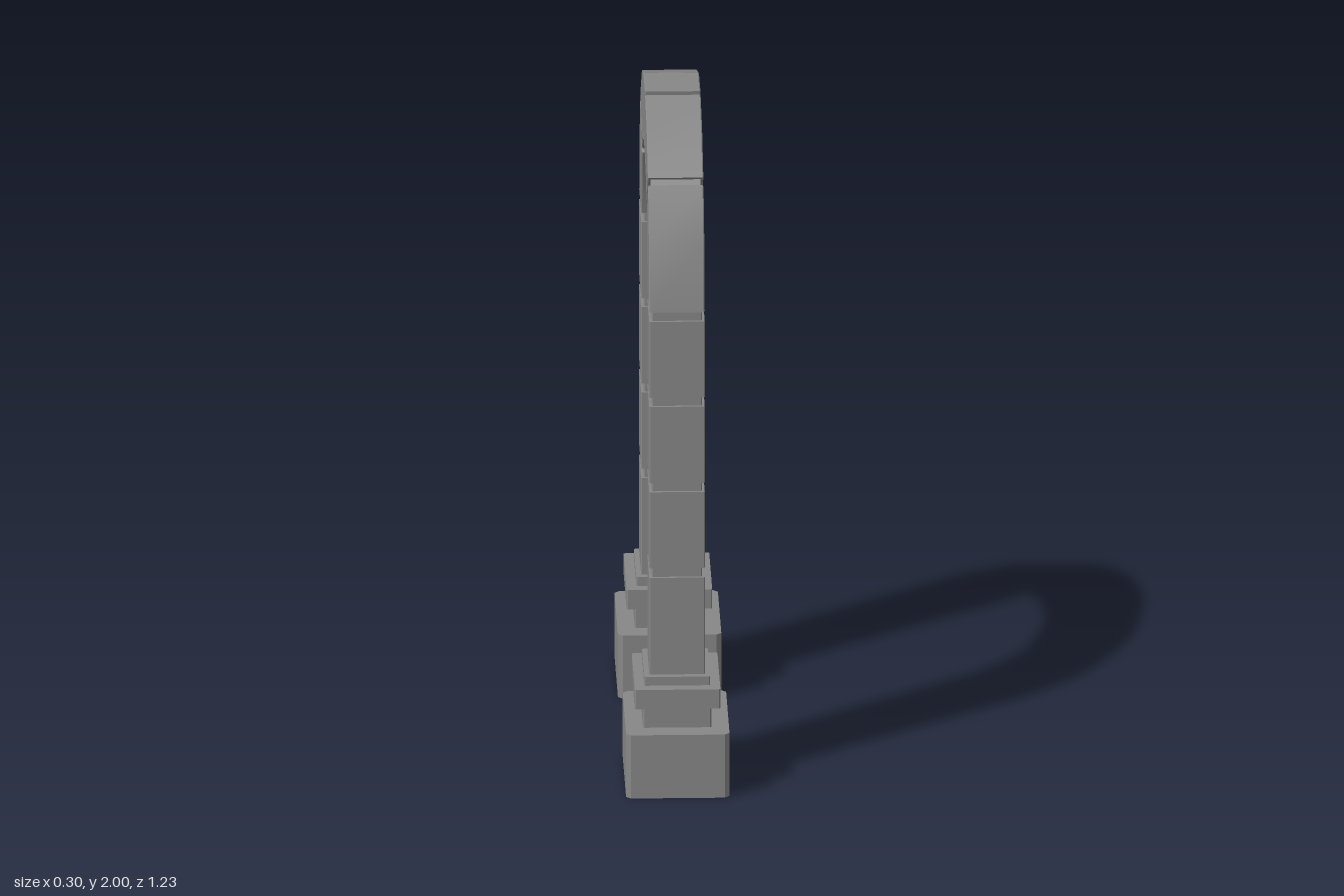
import * as THREE from 'three';
import { toCreasedNormals } from 'three/addons/utils/BufferGeometryUtils.js';

const material = new THREE.MeshStandardMaterial({ color: 0x878787 });
const LEG_Z = 0.425;
const HALF_X = 0.081;
const JOINT_X = 0.073;

function addMesh(parent, name, geometry) {
  const mesh = new THREE.Mesh(geometry, material);
  mesh.name = name;
  parent.add(mesh);
}

// Upright block with chamfered vertical corners
function block(halfX, halfZ, y0, y1, c) {
  const x = halfX, z = halfZ;
  const shape = new THREE.Shape([
    [x - c, -z], [x, -z + c], [x, z - c], [x - c, z],
    [-x + c, z], [-x, z - c], [-x, -z + c], [-x + c, -z],
  ].map(([a, b]) => new THREE.Vector2(a, b)));
  return new THREE.ExtrudeGeometry(shape, { depth: y1 - y0, bevelEnabled: false })
    .rotateX(-Math.PI / 2).translate(0, y0, 0);
}

// Arch stone: [z, y] outline extruded across x with a fine edge bevel
function stone(points, halfX, bevel) {
  const shape = new THREE.Shape(points.map(([z, y]) => new THREE.Vector2(z, y)));
  const geometry = new THREE.ExtrudeGeometry(shape, {
    depth: 2 * (halfX - bevel), bevelEnabled: bevel > 0, bevelSegments: 1,
    bevelSize: bevel, bevelThickness: bevel, bevelOffset: -bevel,
  });
  geometry.translate(0, 0, -(halfX - bevel)).rotateY(-Math.PI / 2);
  return toCreasedNormals(geometry, 0.6);
}

const mix = (a, b, t) => [a[0] + (b[0] - a[0]) * t, a[1] + (b[1] - a[1]) * t];

// Outer and inner edge of each arch stone, from springing to crown
const haunch = {
  outer: [[0.523, 1.475], [0.484, 1.677], [0.398, 1.825]],
  inner: [[0.325, 1.475], [0.298, 1.596], [0.255, 1.688]],
};
const shoulder = {
  outer: [[0.382, 1.842], [0.25, 1.947], [0.096, 1.995]],
  inner: [[0.24, 1.707], [0.161, 1.766], [0.065, 1.795]],
};
const keystone = {
  outer: [[0.08, 2.0], [-0.08, 2.0]],
  inner: [[0.05, 1.8], [-0.05, 1.8]],
};
const outline = (s) => [...s.outer, ...s.inner.slice().reverse()];

// Recessed mortar filling the gap between two arch stones
function joint(a, b) {
  const oa = a.outer.at(-1), ia = a.inner.at(-1), ob = b.outer[0], ib = b.inner[0];
  return stone([mix(oa, ia, 0.06), mix(ob, ib, 0.06), mix(ib, ob, 0.06), mix(ia, oa, 0.06)], JOINT_X, 0);
}

function createLeg() {
  const leg = new THREE.Group();
  leg.name = 'leg';

  const pillar = new THREE.Group();
  pillar.name = 'pillar';
  pillar.position.z = LEG_Z;
  leg.add(pillar);

  // Stepped foot
  addMesh(pillar, 'plinth', block(0.151, 0.189, 0, 0.196, 0.014));
  addMesh(pillar, 'neck', block(0.1, 0.125, 0.196, 0.265, 0.004));
  addMesh(pillar, 'footSlab', block(0.125, 0.157, 0.265, 0.325, 0.004));
  addMesh(pillar, 'footCollar', block(0.096, 0.121, 0.325, 0.352, 0.004));

  // Stacked shaft blocks with recessed joints above each
  const courses = [[0.352, 0.652], [0.682, 0.918], [0.946, 1.183], [1.211, 1.447]];
  courses.forEach(([y0, y1], i) => {
    const next = i < courses.length - 1 ? courses[i + 1][0] : 1.475;
    addMesh(pillar, 'shaftBlock', block(HALF_X, 0.1, y0, y1, 0.003));
    addMesh(pillar, 'shaftJoint', block(JOINT_X, 0.091, y1, next, 0.003));
  });

  // Half of the arch
  addMesh(leg, 'haunchStone', stone(outline(haunch), HALF_X, 0.003));
  addMesh(leg, 'shoulderStone', stone(outline(shoulder), HALF_X, 0.003));
  addMesh(leg, 'archJoint', joint(haunch, shoulder));
  addMesh(leg, 'crownJoint', joint(shoulder, keystone));
  return leg;
}

export function createModel() {
  const model = new THREE.Group();
  model.name = 'archway';

  // Two identical legs facing each other
  for (const turn of [0, Math.PI]) {
    const leg = createLeg();
    leg.rotation.y = turn;
    model.add(leg);
  }
  addMesh(model, 'keystone', stone(outline(keystone), HALF_X, 0.003));
  return model;
}
